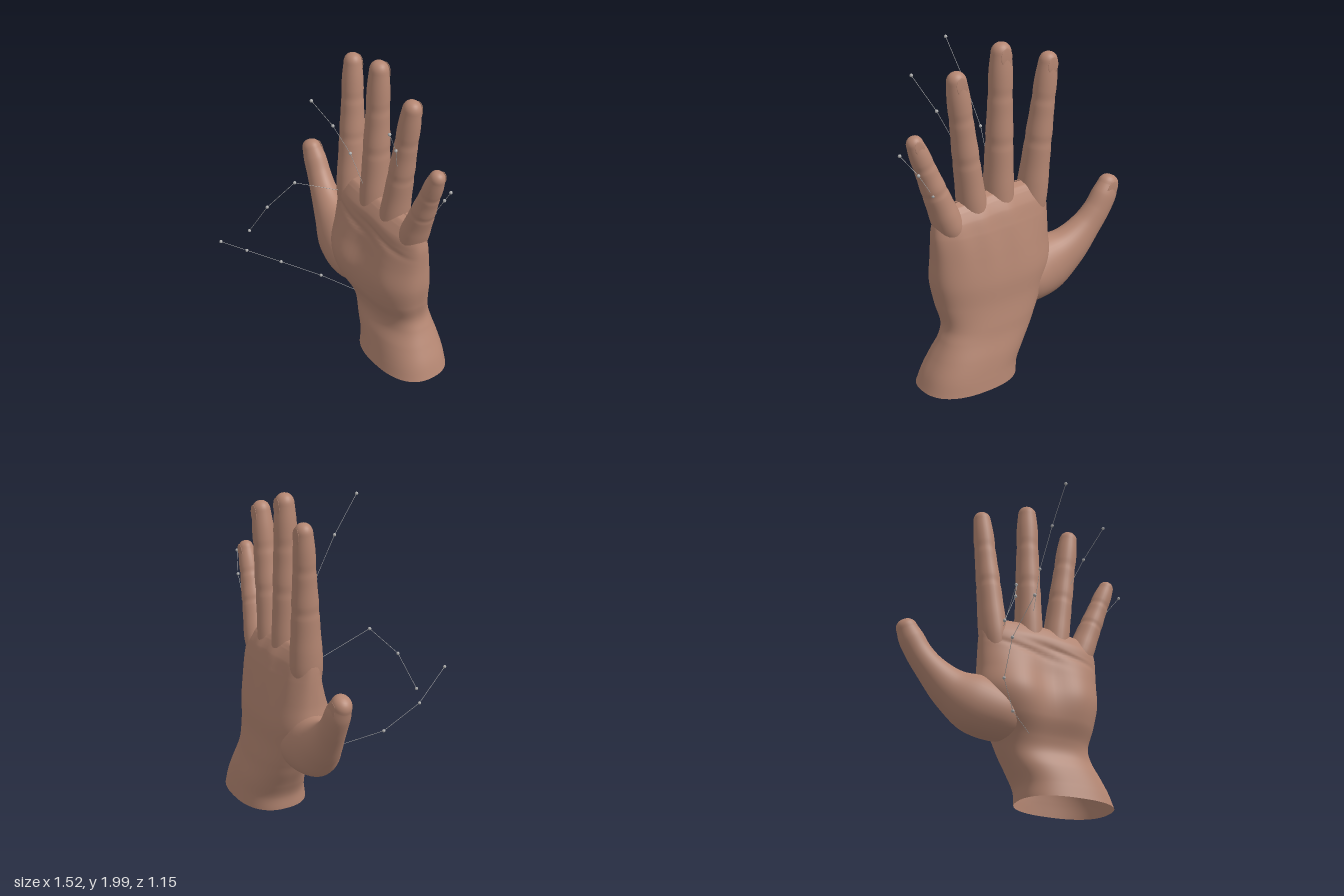
import * as THREE from 'three';

const skin = new THREE.MeshStandardMaterial({ color: 0xb48672, side: THREE.DoubleSide });
skin.name = 'skin';
const rigGrey = new THREE.MeshStandardMaterial({ color: 0xacacac });
rigGrey.name = 'rigGrey';

const V = (x, y, z) => new THREE.Vector3(x, y, z);
const gauss = (d, w) => Math.exp(-(d * d) / (w * w));

// Smooth loft through stations [x, y, z, halfWidth, halfDepth]
function loft(stations, { rings = 40, sides = 32, flat = false, power = 1, cap = 0, sculpt = null } = {}) {
  const path = new THREE.CatmullRomCurve3(stations.map(s => V(s[0], s[1], s[2])));
  const size = new THREE.CatmullRomCurve3(stations.map((s, i) => V(s[3], s[4], i * 0.1)));
  const front = V(0, 0, 1);
  const pos = [], index = [];
  let count = 0;
  const ring = (c, t, a, b) => {
    const side = t.clone().cross(front).normalize();
    const depth = side.clone().cross(t).normalize();
    for (let j = 0; j < sides; j++) {
      const th = (j / sides) * Math.PI * 2;
      const cs = Math.cos(th), sn = Math.sin(th);
      const p = c.clone()
        .addScaledVector(side, a * Math.sign(cs) * Math.abs(cs) ** power)
        .addScaledVector(depth, b * Math.sign(sn) * Math.abs(sn) ** power);
      if (sculpt) sculpt(p, sn);
      pos.push(p.x, p.y, p.z);
    }
    count++;
  };
  const tangent = u => (flat ? V(0, 1, 0) : path.getTangent(u));
  for (let i = 0; i <= rings; i++) {
    const s = size.getPoint(i / rings);
    ring(path.getPoint(i / rings), tangent(i / rings), s.x, s.y);
  }
  // Rounded tip
  const last = stations[stations.length - 1], end = V(last[0], last[1], last[2]), t = tangent(1);
  for (let i = 1; cap && i <= 8; i++) {
    const a = (i / 8) * Math.PI / 2, r = Math.max(Math.cos(a), 0.002) ** 0.85;
    ring(end.clone().addScaledVector(t, cap * Math.sin(a)), t, last[3] * r, last[4] * r);
  }
  for (let i = 0; i < count - 1; i++) {
    for (let j = 0; j < sides; j++) {
      const k = (j + 1) % sides, a = i * sides + j, b = i * sides + k;
      index.push(a, a + sides, b, b, a + sides, b + sides);
    }
  }
  const g = new THREE.BufferGeometry();
  g.setAttribute('position', new THREE.Float32BufferAttribute(pos, 3));
  g.setIndex(index);
  g.computeVertexNormals();
  return g;
}

function addMesh(parent, name, geometry, material) {
  const m = new THREE.Mesh(geometry, material);
  m.name = name;
  parent.add(m);
  return m;
}

// Swellings, hollows, creases and tendons of the palm
function sculptPalm(p, sn) {
  const { x, y } = p;
  if (sn > 0) {
    let d = 0.03 * gauss(x + 0.06, 0.17) * gauss(y - 0.6, 0.22);
    d += 0.018 * gauss(x - 0.4, 0.13) * gauss(y - 0.6, 0.25);
    d -= 0.035 * gauss(x - 0.16, 0.12) * gauss(y - 0.74, 0.2);
    d += 0.012 * gauss(y - 1.02, 0.07);
    d -= 0.010 * gauss(y - (0.93 - 0.25 * x), 0.018) * gauss(x - 0.02, 0.2);
    d -= 0.010 * gauss(y - (1.0 - 0.2 * x), 0.018) * gauss(x - 0.3, 0.2);
    p.z += d * Math.sqrt(sn);
  } else {
    for (const k of [-0.15, 0.09, 0.27, 0.43]) {
      p.z += sn * 0.012 * gauss(x - k, 0.06) * gauss(y - 0.98, 0.18);
    }
  }
  // Webs drop towards the little finger
  p.y -= Math.max(0, x - 0.15) * 0.12 * THREE.MathUtils.smoothstep(y, 0.85, 1.13);
}

// Finger rising out of the palm, with swollen joints, rounded tip and a nail on the back
function addFinger(hand, { name, base, tip, r0, r1 }) {
  const b = V(...base), e = V(...tip);
  const dir = e.clone().sub(b).normalize();
  const cap = r1 * 0.95;
  e.addScaledVector(dir, -cap);
  const profile = [[-0.16, 0.7], [0, 0.96], [0.14, 1.02], [0.28, 1], [0.4, 1.01], [0.45, 0.98], [0.51, 1.02],
    [0.62, 0.99], [0.7, 1], [0.75, 0.97], [0.81, 1.02], [0.9, 1.02], [1, 0.93]];
  const stations = profile.map(([t, k]) => {
    const c = b.clone().lerp(e, t), r = THREE.MathUtils.lerp(r0, r1, t) * k;
    return [c.x, c.y, c.z, r, r * (1.14 - 0.22 * t)];
  });
  const g = new THREE.Group();
  g.name = name;
  hand.add(g);
  addMesh(g, name + 'Skin', loft(stations, { rings: 72, sides: 28, cap }), skin);
  addNail(g, e, dir, r1);
}

function addNail(parent, end, dir, r) {
  const nail = addMesh(parent, 'nail', new THREE.SphereGeometry(1, 20, 12), skin);
  nail.scale.set(r * 0.58, r * 0.85, 0.0045);
  nail.position.copy(end).addScaledVector(dir, -r * 0.25);
  nail.position.z -= r * 0.83;
  nail.rotation.z = Math.atan2(-dir.x, dir.y);
}

// Chain of thin bones with a small ball at each free joint
function addChain(parent, name, points) {
  const g = new THREE.Group();
  g.name = name;
  parent.add(g);
  const pts = points.map(p => V(...p));
  for (let i = 1; i < pts.length; i++) {
    const d = pts[i].clone().sub(pts[i - 1]);
    const bone = addMesh(g, 'bone', new THREE.CylinderGeometry(0.0015, 0.0015, d.length(), 6), rigGrey);
    bone.position.copy(pts[i - 1]).addScaledVector(d, 0.5);
    bone.quaternion.setFromUnitVectors(V(0, 1, 0), d.normalize());
    addMesh(g, 'joint', new THREE.SphereGeometry(0.01, 12, 8), rigGrey).position.copy(pts[i]);
  }
}

export function createModel() {
  const model = new THREE.Group();
  model.name = 'openHand';
  const hand = new THREE.Group();
  hand.name = 'hand';
  model.add(hand);

  // Wrist and palm, open at the bottom
  addMesh(hand, 'palmAndWrist', loft([
    [0.35, 0.01, -0.35, 0.31, 0.22],
    [0.33, 0.1, -0.355, 0.298, 0.207],
    [0.28, 0.2, -0.36, 0.298, 0.19],
    [0.225, 0.3, -0.365, 0.302, 0.165],
    [0.19, 0.38, -0.355, 0.31, 0.165],
    [0.165, 0.5, -0.325, 0.355, 0.18],
    [0.145, 0.65, -0.31, 0.4, 0.187],
    [0.148, 0.8, -0.31, 0.397, 0.162],
    [0.15, 0.95, -0.31, 0.397, 0.128],
    [0.147, 1.04, -0.308, 0.39, 0.104],
    [0.145, 1.1, -0.305, 0.378, 0.075],
    [0.14, 1.13, -0.305, 0.365, 0.048],
    [0.14, 1.145, -0.305, 0.34, 0.004],
  ], { rings: 132, sides: 88, flat: true, power: 0.83, sculpt: sculptPalm }), skin);

  // Thumb growing out of the fleshy base
  const thumb = new THREE.Group();
  thumb.name = 'thumb';
  hand.add(thumb);
  addMesh(thumb, 'thumbSkin', loft([
    [0.1, 0.52, -0.31, 0.08, 0.07],
    [0, 0.515, -0.308, 0.135, 0.125],
    [-0.12, 0.52, -0.305, 0.172, 0.158],
    [-0.27, 0.567, -0.315, 0.187, 0.148],
    [-0.41, 0.645, -0.343, 0.137, 0.113],
    [-0.53, 0.755, -0.362, 0.098, 0.086],
    [-0.605, 0.85, -0.375, 0.085, 0.075],
    [-0.658, 0.94, -0.38, 0.081, 0.07],
    [-0.69, 1.0, -0.378, 0.068, 0.058],
  ], { rings: 80, sides: 40, cap: 0.06 }), skin);
  addNail(thumb, V(-0.685, 0.995, -0.382), V(-0.45, 0.89, 0).normalize(), 0.066);

  // Four fingers
  [
    { name: 'indexFinger', base: [-0.15, 1.0, -0.305], tip: [-0.228, 1.905, -0.355], r0: 0.09, r1: 0.061 },
    { name: 'middleFinger', base: [0.087, 1.0, -0.302], tip: [0.078, 2.0, -0.313], r0: 0.09, r1: 0.065 },
    { name: 'ringFinger', base: [0.262, 0.98, -0.305], tip: [0.388, 1.885, -0.315], r0: 0.087, r1: 0.063 },
    { name: 'littleFinger', base: [0.435, 0.98, -0.315], tip: [0.662, 1.565, -0.295], r0: 0.088, r1: 0.053 },
  ].forEach(f => addFinger(hand, f));

  // Bent rig of thin bones in front of the hand
  const rig = new THREE.Group();
  rig.name = 'rig';
  model.add(rig);
  addChain(rig, 'thumbBones', [[0.05, 0.38, -0.2], [-0.13, 0.45, -0.055], [-0.28, 0.555, 0.147], [-0.33, 0.71, 0.365], [-0.29, 0.89, 0.567]]);
  addChain(rig, 'indexBones', [[-0.135, 1.05, -0.19], [-0.185, 1.19, 0.098], [-0.26, 1.03, 0.25], [-0.36, 0.825, 0.322]]);
  addChain(rig, 'middleBones', [[0.08, 1.19, -0.22], [0.077, 1.455, -0.118], [0.095, 1.7, 0.02], [0.112, 1.925, 0.178]]);
  addChain(rig, 'ringBones', [[0.35, 1.45, -0.25], [0.42, 1.63, -0.178], [0.505, 1.822, -0.06]]);
  addChain(rig, 'littleBones', [[0.5, 1.1, -0.35], [0.572, 1.22, -0.36], [0.658, 1.357, -0.35], [0.75, 1.48, -0.31]]);
  return model;
}
